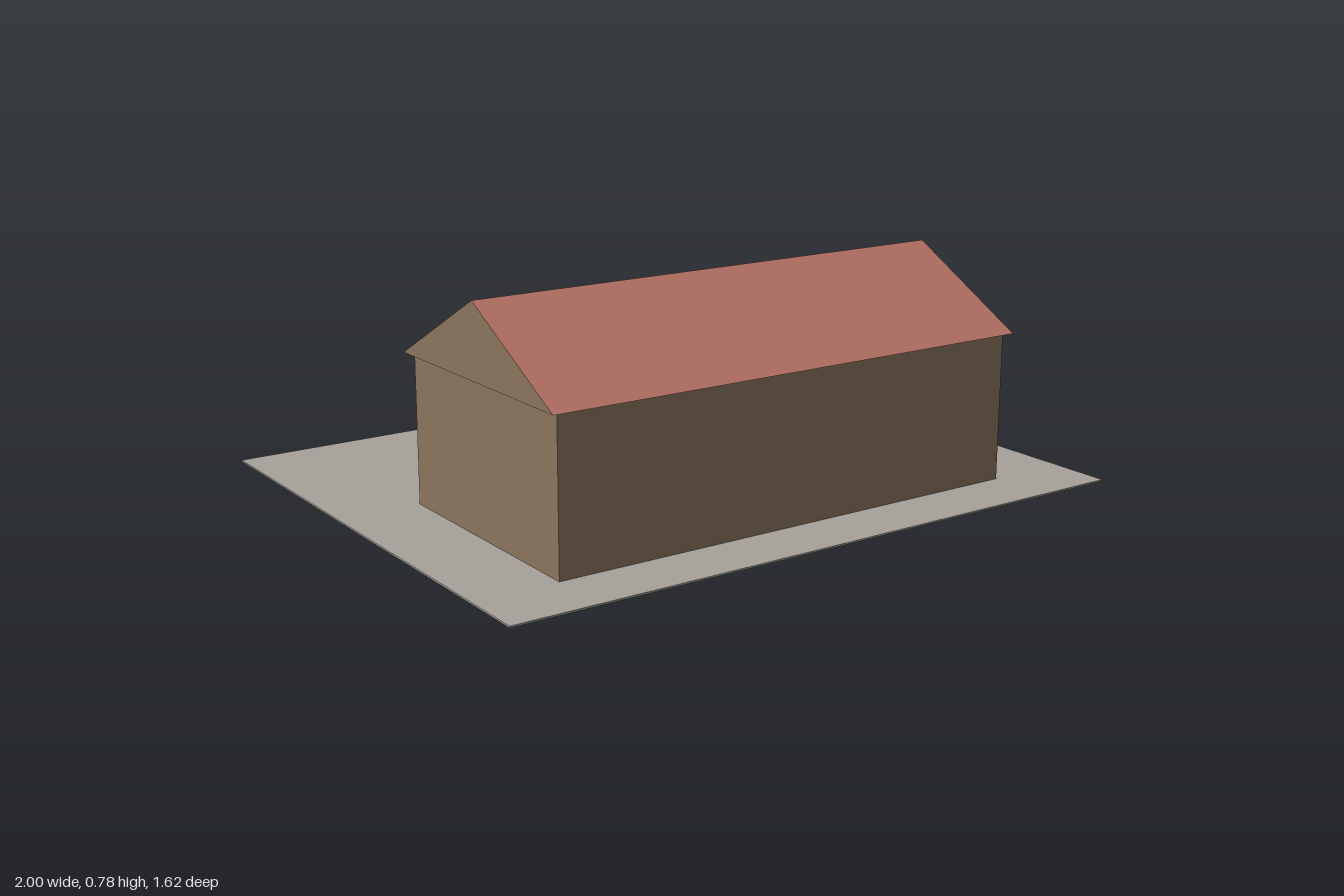
import * as THREE from 'three';

const mat = (name, color) => {
  const m = new THREE.MeshStandardMaterial({ color });
  m.name = name;
  return m;
};

export function createModel() {
  const model = new THREE.Group();
  const brown = mat('brown wall', 0x8b765e);
  const red = mat('red roof', 0xb87264);
  const concrete = mat('concrete', 0xa6a29b);
  const lightGrey = mat('light grey', 0xc9c8c5);
  const straw = mat('straw', 0xd6ca9c);

  const add = (name, geometry, material, parent = model) => {
    const mesh = new THREE.Mesh(geometry, material);
    mesh.name = name;
    parent.add(mesh);
    return mesh;
  };
  // Box given by its minimum and maximum on each axis
  const box = (name, material, [x0, x1], [y0, y1], [z0, z1], parent) =>
    add(name, new THREE.BoxGeometry(x1 - x0, y1 - y0, z1 - z0), material, parent)
      .position.set((x0 + x1) / 2, (y0 + y1) / 2, (z0 + z1) / 2);

  // Yard slab
  box('yard', concrete, [-1, 1], [0.118, 0.123], [-0.81, 0.81]);

  // Barn walls and gabled roof with overhang
  const barn = new THREE.Group();
  barn.name = 'barn';
  model.add(barn);
  box('barnWalls', brown, [-0.752, 0.75], [0.123, 0.562], [-0.124, 0.627], barn);
  const gable = new THREE.Shape([
    new THREE.Vector2(-0.396, 0),
    new THREE.Vector2(0.396, 0),
    new THREE.Vector2(0, 0.215),
  ]);
  const roofGeometry = new THREE.ExtrudeGeometry(gable, { depth: 1.546, bevelEnabled: false });
  roofGeometry.rotateY(Math.PI / 2);
  add('barnRoof', roofGeometry, [brown, red], barn).position.set(-0.774, 0.561, 0.25);

  // Sliding door and its rail cover on the back wall
  box('barnDoor', lightGrey, [-0.155, 0.155], [0.123, 0.46], [-0.128, -0.123], barn);
  box('doorRailCover', lightGrey, [-0.193, 0.193], [0.455, 0.525], [-0.131, -0.123], barn);

  // Outbuilding with a cellar below the yard
  const shed = new THREE.Group();
  shed.name = 'outbuilding';
  model.add(shed);
  box('cellar', concrete, [0.648, 0.975], [0, 0.119], [-0.363, -0.135], shed);
  box('shedWalls', lightGrey, [0.655, 0.966], [0.122, 0.299], [-0.36, -0.14], shed);
  box('shedRoof', concrete, [0.64, 0.98], [0.297, 0.309], [-0.376, -0.128], shed);
  box('shedDoor', lightGrey, [0.858, 0.925], [0.126, 0.258], [-0.367, -0.359], shed);
  box('doorStep', concrete, [0.85, 0.935], [0.116, 0.127], [-0.402, -0.359], shed);

  // Round bales lying in a row behind the barn
  const bales = new THREE.Group();
  bales.name = 'bales';
  model.add(bales);
  const baleGeometry = new THREE.CylinderGeometry(0.045, 0.045, 0.074, 32).rotateZ(Math.PI / 2);
  for (let i = 0; i < 4; i++) {
    add('bale', baleGeometry, straw, bales).position.set(-0.565 + i * 0.137, 0.167, -0.315);
  }
  return model;
}
